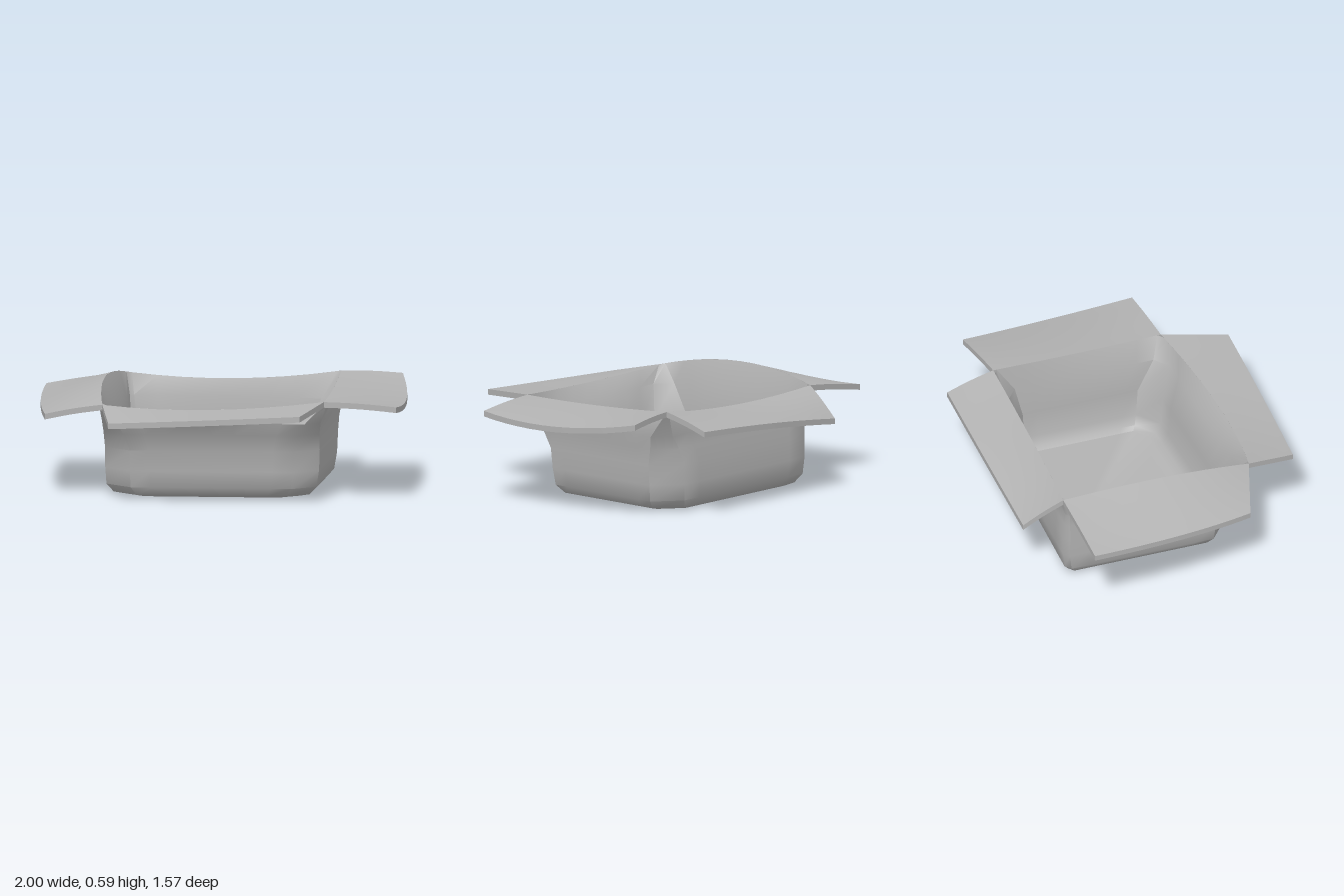
import * as THREE from 'three';
import { toCreasedNormals } from 'three/addons/utils/BufferGeometryUtils.js';

const cardboard = new THREE.MeshStandardMaterial({ color: 0xb2b2b2 });
cardboard.name = 'plain grey card';

const V = (x, y, z) => new THREE.Vector3(x, y, z);

// Skin between closed loops of points, capped at both ends
function loft(name, loops, crease) {
  const n = loops[0].length, last = (loops.length - 1) * n, index = [];
  const quad = (a, b, c, d) => index.push(a, b, c, a, c, d);
  for (let j = 0; j < loops.length - 1; j++) {
    for (let i = 0; i < n; i++) {
      const k = (i + 1) % n;
      quad(j * n + i, j * n + k, (j + 1) * n + k, (j + 1) * n + i);
    }
  }
  for (let k = 0; k < n / 2 - 1; k++) {
    quad(n - 1 - k, n - 2 - k, k + 1, k);
    quad(last + k, last + k + 1, last + n - 2 - k, last + n - 1 - k);
  }
  const geometry = new THREE.BufferGeometry().setFromPoints(loops.flat());
  geometry.setIndex(index);
  const mesh = new THREE.Mesh(toCreasedNormals(geometry, crease), cardboard);
  mesh.name = name;
  return mesh;
}

// Smooth bend through three points
function bend([a, m, b], u) {
  const p = V(0, 0, 0);
  p.addScaledVector(a, 2 * (u - 0.5) * (u - 1));
  p.addScaledVector(m, 4 * u * (1 - u));
  return p.addScaledVector(b, 2 * u * (u - 0.5));
}

// Rim corners, counter-clockwise from above
const A = V(-0.56, 0.51, 0.51), B = V(0.61, 0.535, 0.42);
const C = V(0.57, 0.565, -0.53), D = V(-0.57, 0.535, -0.53);

// Each flap: fold line on the rim and free outer edge
const flaps = [
  { name: 'frontFlap', hinge: [A, V(0, 0.495, 0.525), B],
    edge: [V(-0.49, 0.45, 0.78), V(0, 0.475, 0.78), V(0.53, 0.505, 0.77)], lift: 0 },
  { name: 'leftFlap', hinge: [B, V(0.595, 0.54, -0.05), C],
    edge: [V(0.99, 0.51, 0.39), V(0.98, 0.49, -0.1), V(0.89, 0.55, -0.59)], lift: 0.005 },
  { name: 'backFlap', hinge: [C, V(0, 0.515, -0.51), D],
    edge: [V(0.56, 0.49, -0.79), V(0, 0.45, -0.77), V(-0.53, 0.39, -0.74)], lift: 0.006 },
  { name: 'rightFlap', hinge: [D, V(-0.615, 0.585, 0), A],
    edge: [V(-1, 0.47, -0.5), V(-0.96, 0.455, 0), V(-0.88, 0.44, 0.41)], lift: 0.005 },
];

const STEPS = 8;
// How much each tub corner is rounded off, as a share of the side
const CUTS = [0.13, 0.11, 0.13, 0.03];

// Horizontal loop of the tub; the front wall is slightly skewed
function tubLoop([y, left, right, back, frontRight, frontLeft, round]) {
  const corners = [V(left, y, frontRight), V(right, y, frontLeft), V(right, y, back), V(left, y, back)];
  const loop = [];
  corners.forEach((p, s) => {
    const next = (s + 1) % 4, start = CUTS[s] * round, end = 1 - CUTS[next] * round;
    for (let i = 0; i <= STEPS; i++) {
      loop.push(p.clone().lerp(corners[next], start + (end - start) * i / STEPS));
    }
  });
  return loop;
}

// Loop following the four fold lines
function rimLoop(spread, drop) {
  const loop = [];
  flaps.forEach(({ hinge }) => {
    for (let i = 0; i <= STEPS; i++) {
      const p = bend(hinge, 0.02 + 0.96 * i / STEPS);
      loop.push(V(p.x * spread, p.y - drop, p.z * spread));
    }
  });
  return loop;
}

// Curved sheet of even thickness from fold line to free edge
function makeFlap({ name, hinge, edge, lift }) {
  const loops = [], across = 6, thick = 0.03;
  for (let i = 0; i <= 12; i++) {
    const u = i / 12, a = bend(hinge, u), b = bend(edge, u);
    const top = [], under = [];
    for (let j = 0; j <= across; j++) {
      const v = j / across, p = a.clone().lerp(b, v);
      p.y += lift * Math.sin(Math.PI * v);
      top.push(p);
      under.unshift(p.clone().setY(p.y - thick));
    }
    loops.push([...top, ...under]);
  }
  return loft(name, loops, 0.8);
}

export function createModel() {
  const model = new THREE.Group();
  model.name = 'openBox';

  // Outer walls up to the rim, then inner walls down to the floor
  const outside = [
    [0, -0.48, 0.45, -0.45, 0.34, 0.28, 1],
    [0.015, -0.53, 0.51, -0.48, 0.4, 0.33, 1],
    [0.06, -0.565, 0.55, -0.51, 0.435, 0.37, 1],
    [0.15, -0.57, 0.565, -0.52, 0.45, 0.38, 1],
    [0.26, -0.57, 0.57, -0.52, 0.46, 0.39, 1],
    [0.35, -0.57, 0.575, -0.515, 0.495, 0.42, 0.8],
    [0.42, -0.57, 0.59, -0.51, 0.535, 0.46, 0.6],
  ].map(tubLoop);
  const inside = [
    [0.42, -0.55, 0.555, -0.485, 0.49, 0.42, 0.6],
    [0.25, -0.54, 0.54, -0.485, 0.43, 0.36, 1],
    [0.1, -0.53, 0.53, -0.475, 0.41, 0.345, 1],
    [0.05, -0.51, 0.505, -0.46, 0.37, 0.315, 0.9],
    [0.03, -0.495, 0.485, -0.445, 0.335, 0.28, 0.7],
  ].map(tubLoop);
  model.add(loft('tub', [...outside, rimLoop(1.02, 0.025), rimLoop(1, 0), ...inside], 0.75));

  // Four opened flaps
  flaps.forEach((flap) => model.add(makeFlap(flap)));
  return model;
}
